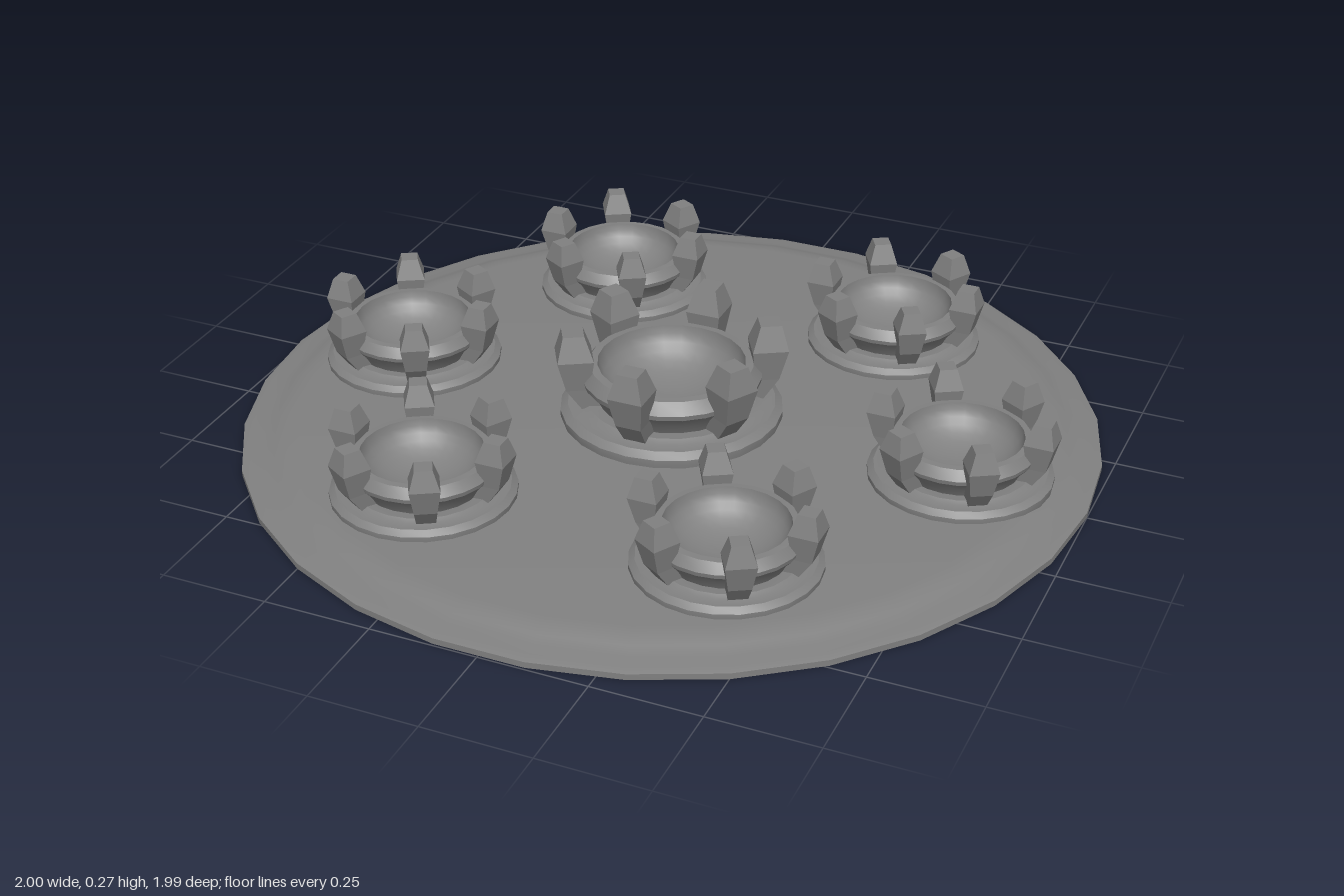
import * as THREE from 'three';
import { toCreasedNormals } from 'three/addons/utils/BufferGeometryUtils.js';

const smooth = new THREE.MeshStandardMaterial({ color: 0x808080 });
const faceted = new THREE.MeshStandardMaterial({ color: 0x808080, flatShading: true });

// Revolved profile with crisp edges; a vertex always lies on +x.
function revolve(points, segments) {
  const profile = points.map(([r, y]) => new THREE.Vector2(r, y));
  return toCreasedNormals(new THREE.LatheGeometry(profile, segments, Math.PI / 2), 0.5);
}

// Claw: rectangular cross-sections [radius, y, half width, half depth] joined bottom to top.
function clawGeometry() {
  const sections = [
    [0.147, 0.06, 0.021, 0.02],
    [0.178, 0.108, 0.025, 0.022],
    [0.182, 0.17, 0.034, 0.034],
    [0.184, 0.218, 0.02, 0.02],
  ];
  const positions = [];
  const index = [];
  for (const [r, y, w, d] of sections) {
    positions.push(r - d, y, w, r + d, y, w, r + d, y, -w, r - d, y, -w);
  }
  for (let s = 0; s < sections.length - 1; s++) {
    for (let i = 0; i < 4; i++) {
      const a = s * 4 + i;
      const b = s * 4 + ((i + 1) % 4);
      index.push(a, b, b + 4, a, b + 4, a + 4);
    }
  }
  const t = (sections.length - 1) * 4;
  index.push(0, 2, 1, 0, 3, 2, t, t + 1, t + 2, t, t + 2, t + 3);
  const geometry = new THREE.BufferGeometry();
  geometry.setAttribute('position', new THREE.Float32BufferAttribute(positions, 3));
  geometry.setIndex(index);
  geometry.computeVertexNormals();
  return geometry;
}

export function createModel() {
  const model = new THREE.Group();
  model.name = 'plateWithSettings';

  function add(parent, name, geometry, material) {
    const mesh = new THREE.Mesh(geometry, material);
    mesh.name = name;
    parent.add(mesh);
    return mesh;
  }

  // Round base plate: raised centre, soft step down to the rim, hollow underneath
  add(model, 'basePlate', revolve([
    [0, 0.022], [0.87, 0.022], [0.9, 0.02], [0.93, 0.012], [0.955, 0.008], [0.975, 0.007],
    [0.982, 0], [1, 0], [1, 0.014], [0.98, 0.02], [0.95, 0.022],
    [0.925, 0.031], [0.9, 0.04], [0.87, 0.043], [0, 0.043],
  ], 30), smooth);

  // Foot flange of a setting, its underside just showing below the plate
  const flangeBottom = 0.02;
  const flange = revolve([
    [0, flangeBottom], [0.205, flangeBottom], [0.21, 0.045], [0.21, 0.055], [0.196, 0.066],
    [0.172, 0.066], [0.16, 0.072], [0.13, 0.07], [0, 0.045],
  ], 24);

  // Hollow cup: flared wall, bevelled rim, rounded bowl inside
  const cupProfile = [
    [0.135, 0.066], [0.147, 0.09], [0.168, 0.114], [0.17, 0.124], [0.154, 0.146], [0.139, 0.147],
  ];
  for (let i = 1; i <= 8; i++) {
    const a = (i / 8) * Math.PI / 2;
    cupProfile.push([0.139 * Math.cos(a), 0.147 - 0.08 * Math.sin(a)]);
  }
  const cup = revolve(cupProfile, 24);
  const claw = clawGeometry();

  function addSetting(name, x, z, scale, turn) {
    const setting = new THREE.Group();
    setting.name = name;
    setting.position.set(x, flangeBottom * (1 - scale), z);
    setting.scale.setScalar(scale);
    add(setting, 'flange', flange, smooth);
    add(setting, 'cup', cup, smooth);
    for (let i = 0; i < 6; i++) {
      add(setting, 'claw', claw, faceted).rotation.y = turn + (i * Math.PI) / 3;
    }
    model.add(setting);
  }

  // Large setting in the middle, six smaller ones around it
  addSetting('centreSetting', 0, 0, 1.24, Math.PI / 6);
  addSetting('leftSetting', 0.705, 0, 1, 0);
  addSetting('rightSetting', -0.68, 0, 1, 0);
  for (const z of [-0.54, 0.54]) {
    for (const x of [-0.365, 0.36]) addSetting('outerSetting', x, z, 1, 0);
  }
  return model;
}
